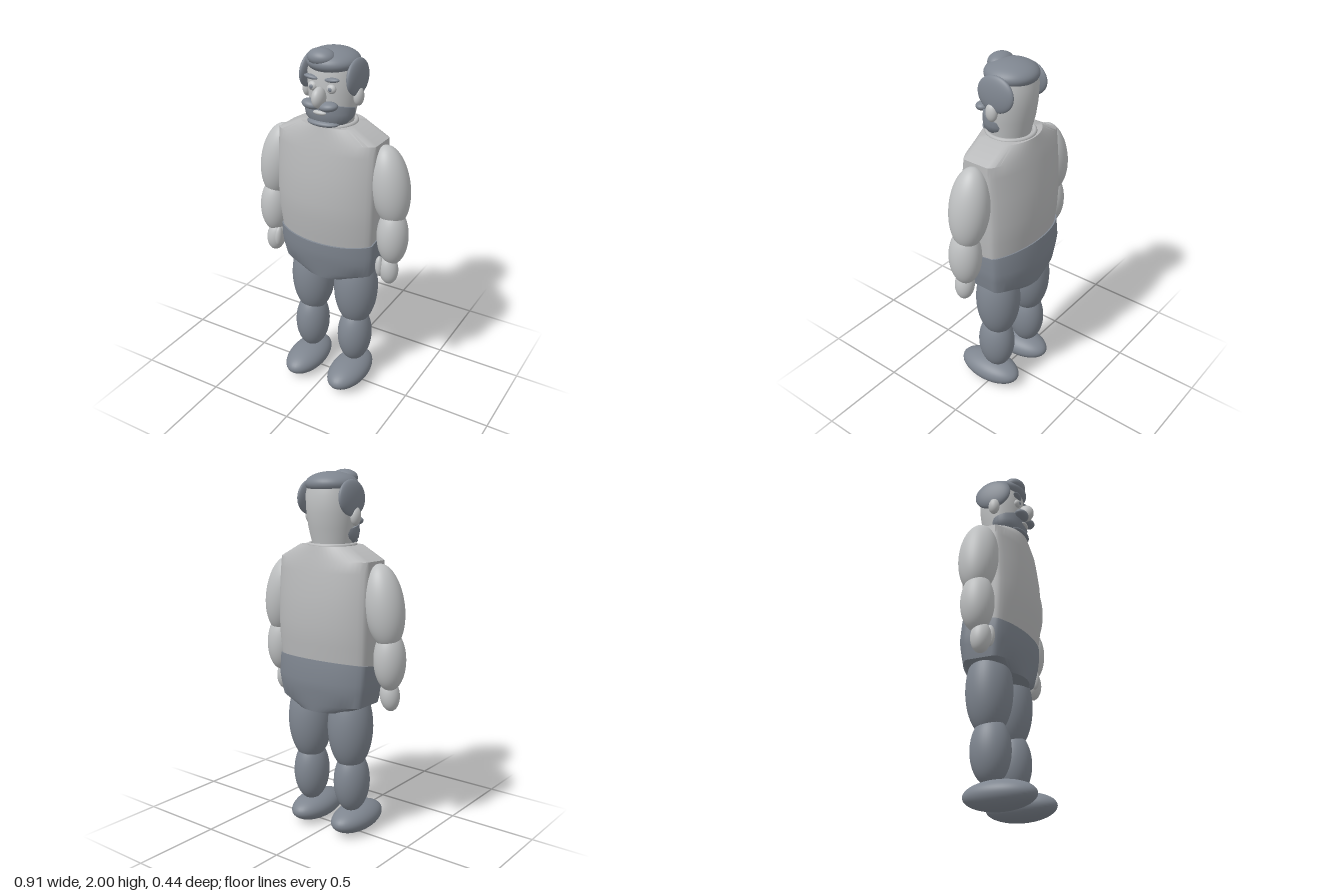
import * as THREE from 'three';
import { toCreasedNormals } from 'three/addons/utils/BufferGeometryUtils.js';

const mat = (name, color) => {
  const m = new THREE.MeshStandardMaterial({ color });
  m.name = name;
  return m;
};

// Closed loft through oval sections [y, halfWidth, zFront, zBack, slope];
// clip > 1 flattens the sides, slope raises the section towards the back.
function loft(sections, clip = 1) {
  const n = 64, pos = [], idx = [];
  for (const [y, w, zf, zb, slope = 0] of sections) {
    for (let j = 0; j < n; j++) {
      const t = (j / n) * Math.PI * 2;
      const x = THREE.MathUtils.clamp(w * clip * Math.cos(t), -w, w);
      const z = (zf + zb) / 2 + ((zf - zb) / 2) * Math.sin(t);
      pos.push(x, y + slope * (zf - z), z);
    }
  }
  const rows = sections.length;
  for (const [y, , zf, zb, slope = 0] of [sections[0], sections[rows - 1]]) {
    pos.push(0, y + slope * (zf - zb) / 2, (zf + zb) / 2);
  }
  for (let j = 0; j < n; j++) {
    const k = (j + 1) % n;
    for (let i = 0; i < rows - 1; i++) {
      const a = i * n + j, b = i * n + k;
      idx.push(a, a + n, b, b, a + n, b + n);
    }
    const top = (rows - 1) * n;
    idx.push(rows * n, j, k, rows * n + 1, top + k, top + j);
  }
  const g = new THREE.BufferGeometry();
  g.setAttribute('position', new THREE.Float32BufferAttribute(pos, 3));
  g.setIndex(idx);
  return toCreasedNormals(g, 0.65);
}

export function createModel() {
  const model = new THREE.Group();
  model.name = 'standingMan';
  const skin = mat('skin', 0xbfc1c2);
  const shirtMat = mat('shirt', 0xb8b9ba);
  const dark = mat('hairAndTrousers', 0x7f8690);
  const ball = new THREE.SphereGeometry(1, 40, 28);

  const add = (name, geometry, material) => {
    const m = new THREE.Mesh(geometry, material);
    m.name = name;
    model.add(m);
    return m;
  };
  const blob = (name, material, p, s, tilt = 0) => {
    const m = add(name, ball, material);
    m.position.set(...p);
    m.scale.set(...s);
    m.rotation.z = tilt;
    return m;
  };
  // Mirrored pair of ellipsoids, given for the model's left (+x)
  const pair = (name, material, [x, y, z], s, tilt = 0) => {
    blob(name + 'Left', material, [x, y, z], s, tilt);
    blob(name + 'Right', material, [-x, y, z], s, -tilt);
  };

  // Torso and shorts
  add('shirt', loft([
    [0.90, 0.272, 0.140, -0.190], [1.00, 0.280, 0.155, -0.198],
    [1.10, 0.288, 0.170, -0.210], [1.20, 0.291, 0.175, -0.215],
    [1.35, 0.291, 0.166, -0.206], [1.48, 0.290, 0.146, -0.186],
    [1.54, 0.288, 0.135, -0.175], [1.61, 0.160, 0.120, -0.158],
  ], 1.16), shirtMat);
  add('trouserSeat', loft([
    [0.725, 0.155, 0.120, -0.190], [0.77, 0.265, 0.130, -0.200],
    [0.85, 0.281, 0.148, -0.213], [0.90, 0.287, 0.155, -0.220],
    [0.955, 0.285, 0.157, -0.208, 0.17],
  ], 1.16), dark);
  const collar = add('collar', new THREE.TorusGeometry(0.122, 0.012, 12, 48), shirtMat);
  collar.rotation.x = Math.PI / 2;
  collar.position.set(0, 1.61, -0.015);

  // Arms
  pair('upperArm', skin, [0.34, 1.31, -0.017], [0.105, 0.222, 0.107], 0.17);
  pair('forearm', skin, [0.371, 1.03, -0.005], [0.084, 0.165, 0.09], 0.03);
  pair('hand', skin, [0.363, 0.835, 0.013], [0.053, 0.088, 0.054], 0.12);
  pair('thumb', skin, [0.324, 0.855, 0.045], [0.022, 0.06, 0.028], 0.05);

  // Legs
  pair('thigh', dark, [0.14, 0.63, -0.035], [0.125, 0.25, 0.125]);
  pair('calf', dark, [0.143, 0.31, -0.024], [0.097, 0.18, 0.108]);
  pair('shoe', dark, [0.143, 0.079, 0.026], [0.108, 0.077, 0.196]);

  // Head, beard and hair
  add('head', loft([
    [1.57, 0.105, 0.085, -0.110], [1.63, 0.113, 0.090, -0.120],
    [1.70, 0.127, 0.098, -0.138], [1.78, 0.135, 0.102, -0.150],
    [1.87, 0.138, 0.104, -0.155], [1.93, 0.125, 0.090, -0.140],
  ]), skin);
  add('beard', loft([
    [1.605, 0.070, 0.080, -0.030, 0.06], [1.618, 0.105, 0.105, -0.060, 0.06],
    [1.645, 0.129, 0.118, -0.080, 0.02], [1.685, 0.137, 0.122, -0.090, -0.1],
    [1.735, 0.136, 0.118, -0.090, -0.27],
  ]), dark);
  blob('chinTuft', dark, [0, 1.627, 0.085], [0.09, 0.02, 0.047]);
  blob('hairCap', dark, [0, 1.925, -0.02], [0.138, 0.064, 0.14]);
  blob('forelock', dark, [-0.02, 1.956, 0.065], [0.075, 0.044, 0.06]);
  pair('sideHair', dark, [0.136, 1.855, -0.026], [0.027, 0.094, 0.109], 0.06);

  // Face
  pair('ear', skin, [0.15, 1.762, -0.012], [0.026, 0.049, 0.033]);
  blob('nose', skin, [0, 1.768, 0.125], [0.033, 0.054, 0.049]);
  pair('moustache', dark, [0.049, 1.727, 0.117], [0.052, 0.025, 0.04], 0.12);
  blob('lip', skin, [0, 1.688, 0.118], [0.038, 0.012, 0.016]);
  pair('eye', skin, [0.054, 1.812, 0.094], [0.026, 0.024, 0.018]);
  pair('pupil', dark, [0.054, 1.812, 0.109], [0.011, 0.011, 0.006]);
  pair('eyebrow', dark, [0.06, 1.859, 0.098], [0.041, 0.012, 0.018], 0.1);

  return model;
}
